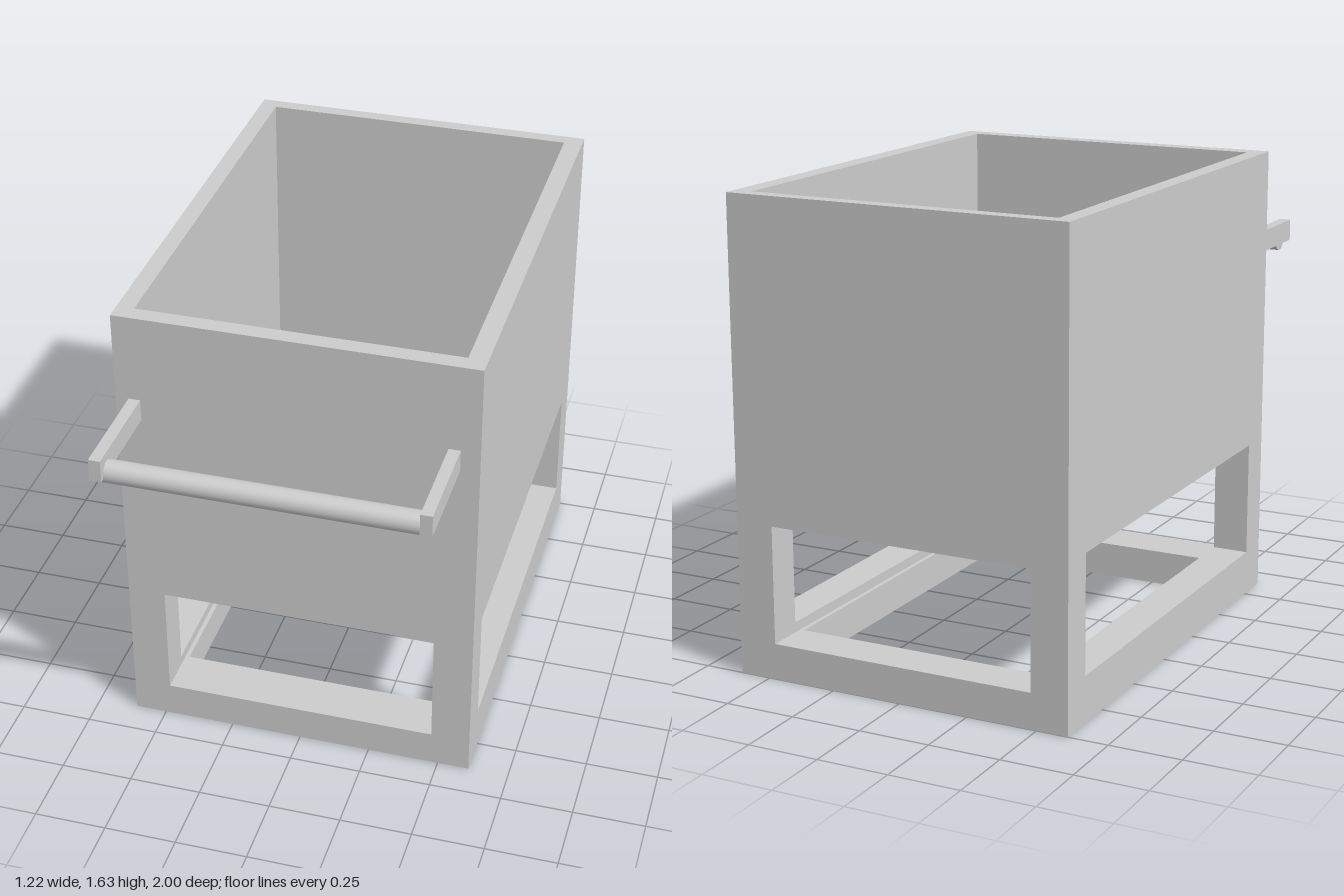
import * as THREE from 'three';

const material = new THREE.MeshStandardMaterial({ color: 0xcccccc, side: THREE.DoubleSide });

// Outer body
const X0 = -0.61, X1 = 0.61, Z0 = -1, Z1 = 0.635, H = 1.635;
// Slot running front to back
const FX0 = -0.48, FX1 = 0.475, FY0 = 0.125, FY1 = 0.535;
// Slot running side to side
const SZ0 = -0.875, SZ1 = 0.51, SY0 = 0.16, SY1 = 0.57;
// Top compartment and opening in the base
const CX0 = -0.55, CX1 = 0.545, CZ0 = -0.95, CZ1 = 0.575, FLOOR = 0.63;
const BX0 = -0.465, BX1 = 0.46, BZ0 = -0.845, BZ1 = 0.465;

const rect = (u0, v0, u1, v1) => [[u0, v0], [u1, v0], [u1, v1], [u0, v1]];
const toPoints = (pts) => pts.map(([u, v]) => new THREE.Vector2(u, v));

// Flat panel on the plane axis = at, facing along dir; (u, v) is (z, y), (x, z) or (x, y)
function panel(parent, name, axis, at, dir, outline, hole) {
  const shape = new THREE.Shape(toPoints(outline));
  if (hole) shape.holes.push(new THREE.Path(toPoints(hole)));
  const geo = new THREE.ShapeGeometry(shape);
  const p = geo.attributes.position;
  for (let i = 0; i < p.count; i++) {
    const u = p.getX(i), v = p.getY(i);
    if (axis === 'x') p.setXYZ(i, at, v, u);
    else if (axis === 'y') p.setXYZ(i, u, at, v);
    else p.setXYZ(i, u, v, at);
  }
  if ((axis === 'z' ? 1 : -1) !== dir) geo.index.array.reverse();
  geo.computeVertexNormals();
  const mesh = new THREE.Mesh(geo, material);
  mesh.name = name;
  parent.add(mesh);
}

// Four walls of a box-shaped recess, facing inwards
function recessWalls(parent, name, x0, x1, z0, z1, y0, y1) {
  panel(parent, name, 'x', x0, 1, rect(z0, y0, z1, y1));
  panel(parent, name, 'x', x1, -1, rect(z0, y0, z1, y1));
  panel(parent, name, 'z', z0, 1, rect(x0, y0, x1, y1));
  panel(parent, name, 'z', z1, -1, rect(x0, y0, x1, y1));
}

function makeGroup(parent, name) {
  const g = new THREE.Group();
  g.name = name;
  parent.add(g);
  return g;
}

export function createModel() {
  const model = new THREE.Group();
  model.name = 'handledBin';

  // Outer walls with their windows
  const shell = makeGroup(model, 'outerShell');
  const endWindow = rect(FX0, FY0, FX1, FY1), sideWindow = rect(SZ0, SY0, SZ1, SY1);
  panel(shell, 'frontWall', 'z', Z1, 1, rect(X0, 0, X1, H), endWindow);
  panel(shell, 'backWall', 'z', Z0, -1, rect(X0, 0, X1, H), endWindow);
  panel(shell, 'leftWall', 'x', X1, 1, rect(Z0, 0, Z1, H), sideWindow);
  panel(shell, 'rightWall', 'x', X0, -1, rect(Z0, 0, Z1, H), sideWindow);
  panel(shell, 'topRim', 'y', H, 1, rect(X0, Z0, X1, Z1), rect(CX0, CZ0, CX1, CZ1));
  const opening = rect(BX0, BZ0, BX1, BZ1);
  panel(shell, 'underside', 'y', 0, -1, rect(X0, Z0, X1, Z1), opening);

  // Open compartment
  const bin = makeGroup(model, 'compartment');
  recessWalls(bin, 'compartmentWall', CX0, CX1, CZ0, CZ1, FLOOR, H);
  panel(bin, 'compartmentFloor', 'y', FLOOR, 1, rect(CX0, CZ0, CX1, CZ1));

  // Base frame: top faces of the rails and the opening's edges
  const base = makeGroup(model, 'baseFrame');
  recessWalls(base, 'openingEdge', BX0, BX1, BZ0, BZ1, 0, FY0);
  panel(base, 'railTop', 'y', FY0, 1, rect(FX0, Z0, FX1, Z1), opening);
  panel(base, 'sideRailTop', 'y', SY0, 1, rect(X0, SZ0, FX0, SZ1));
  panel(base, 'sideRailTop', 'y', SY0, 1, rect(FX1, SZ0, X1, SZ1));

  // Inner faces of the corner legs, joined by the rails
  const legs = makeGroup(model, 'legs');
  const sideU = [[Z0, FY0], [Z1, FY0], [Z1, FY1], [SZ1, FY1], [SZ1, SY0], [SZ0, SY0], [SZ0, FY1], [Z0, FY1]];
  panel(legs, 'legInnerSide', 'x', FX0, 1, sideU);
  panel(legs, 'legInnerSide', 'x', FX1, -1, sideU);
  const endU = [[X0, SY0], [FX0, SY0], [FX0, FY1], [FX1, FY1], [FX1, SY0], [X1, SY0], [X1, SY1], [X0, SY1]];
  panel(legs, 'legInnerEnd', 'z', SZ0, 1, endU);
  panel(legs, 'legInnerEnd', 'z', SZ1, -1, endU);

  // Underside of the compartment and of the end lintels
  const ceiling = makeGroup(model, 'compartmentUnderside');
  panel(ceiling, 'centreUnderside', 'y', SY1, -1, rect(X0, SZ0, X1, SZ1));
  panel(ceiling, 'backLintel', 'y', FY1, -1, rect(FX0, Z0, FX1, SZ0));
  panel(ceiling, 'frontLintel', 'y', FY1, -1, rect(FX0, SZ1, FX1, Z1));

  // Push handle: two arms and a round bar
  const handle = makeGroup(model, 'handle');
  for (const x of [-0.545, 0.525]) {
    const arm = new THREE.Mesh(new THREE.BoxGeometry(0.04, 0.077, 1 - Z1), material);
    arm.position.set(x, 1.288, (1 + Z1) / 2);
    arm.name = 'handleArm';
    handle.add(arm);
  }
  const bar = new THREE.Mesh(new THREE.CylinderGeometry(0.039, 0.039, 1.06, 32), material);
  bar.rotation.z = Math.PI / 2;
  bar.position.set(-0.015, 1.257, 0.945);
  bar.name = 'handleBar';
  handle.add(bar);

  return model;
}
